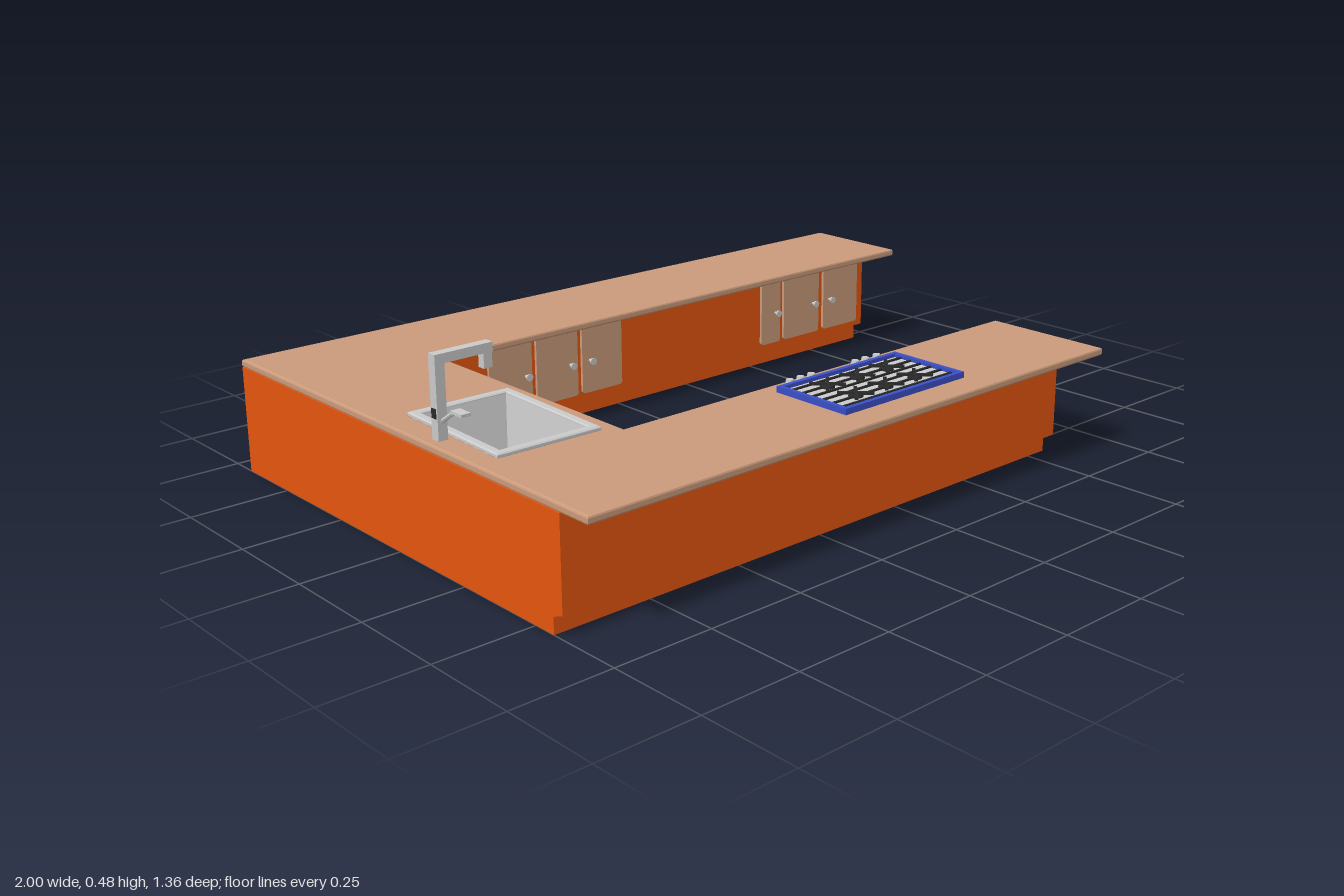
import * as THREE from 'three';

const mat = (color, side = THREE.FrontSide) =>
  new THREE.MeshStandardMaterial({ color, side, flatShading: true });
const orange = mat(0xe6560d);
const orangeThin = mat(0xe6560d, THREE.DoubleSide);
const wood = mat(0xcc9c7c);
const grey = mat(0xcccccc);
const greyThin = mat(0xcccccc, THREE.DoubleSide);
const dark = mat(0x2a2a2a);
const blue = mat(0x3c50c8);

function add(parent, name, geometry, material, x = 0, y = 0, z = 0) {
  const mesh = new THREE.Mesh(geometry, material);
  mesh.name = name;
  mesh.position.set(x, y, z);
  parent.add(mesh);
  return mesh;
}

// Box given by its limits on each axis
function box(parent, name, material, [x0, x1], [y0, y1], [z0, z1]) {
  return add(parent, name, new THREE.BoxGeometry(x1 - x0, y1 - y0, z1 - z0), material,
    (x0 + x1) / 2, (y0 + y1) / 2, (z0 + z1) / 2);
}

function group(parent, name, x = 0, y = 0, z = 0, ry = 0) {
  const g = new THREE.Group();
  g.name = name;
  g.position.set(x, y, z);
  g.rotation.y = ry;
  parent.add(g);
  return g;
}

const polygon = pts => new THREE.Shape(pts.map(p => new THREE.Vector2(...p)));
const rect = (x0, x1, y0, y1) => polygon([[x0, y0], [x1, y0], [x1, y1], [x0, y1]]);

function roundedRect(x0, x1, y0, y1, r) {
  const s = new THREE.Shape();
  s.absarc(x1 - r, y0 + r, r, -Math.PI / 2, 0);
  s.absarc(x1 - r, y1 - r, r, 0, Math.PI / 2);
  s.absarc(x0 + r, y1 - r, r, Math.PI / 2, Math.PI);
  s.absarc(x0 + r, y0 + r, r, Math.PI, Math.PI * 1.5);
  return s;
}

// Open sheet: a (z, y) section drawn along x
function sheet(section, x0, x1) {
  const pos = [];
  for (let i = 0; i < section.length - 1; i++) {
    const [za, ya] = section[i], [zb, yb] = section[i + 1];
    pos.push(x0, ya, za, x1, ya, za, x1, yb, zb, x0, ya, za, x1, yb, zb, x0, yb, zb);
  }
  const g = new THREE.BufferGeometry();
  g.setAttribute('position', new THREE.Float32BufferAttribute(pos, 3));
  g.computeVertexNormals();
  return g;
}

// Cabinet door with a knob, on a run whose face is local z = 0
function door(run, u0, u1, knobU) {
  const g = group(run, 'door');
  add(g, 'doorPanel', new THREE.ExtrudeGeometry(roundedRect(u0, u1, 0.07, 0.255, 0.008),
    { depth: 0.008, bevelEnabled: false, curveSegments: 4 }), wood);
  const stem = add(g, 'knobStem', new THREE.CylinderGeometry(0.004, 0.004, 0.012, 8), grey, knobU, 0.16, 0.013);
  const knob = add(g, 'knob', new THREE.CylinderGeometry(0.01, 0.008, 0.008, 14), grey, knobU, 0.16, 0.022);
  stem.rotation.x = knob.rotation.x = Math.PI / 2;
}

// Framed appliance front with a bar handle
function appliance(run, name, [u0, u1], [y0, y1], out, inner, [h0, h1], hy) {
  const g = group(run, name), b = 0.018;
  const frame = rect(u0, u1, y0, y1);
  frame.holes.push(rect(u0 + b, u1 - b, y0 + b, y1 - b));
  add(g, 'frame', new THREE.ExtrudeGeometry(frame, { depth: out, bevelEnabled: false }), grey);
  box(g, 'panel', inner, [u0 + b, u1 - b], [y0 + b, y1 - b], [0, out - 0.005]);
  box(g, 'handle', grey, [h0, h1], [hy - 0.004, hy + 0.004], [out + 0.014, out + 0.022]);
  for (const u of [h0, h1 - 0.008])
    box(g, 'handlePost', grey, [u, u + 0.008], [hy - 0.004, hy + 0.004], [out - 0.006, out + 0.016]);
}

export function createModel() {
  const kitchen = new THREE.Group();
  kitchen.name = 'kitchen';

  // U-shaped worktop with a cut-out for the sink
  const top = polygon([[-1, -0.68], [1, -0.68], [1, -0.37], [-0.635, -0.37],
    [-0.635, 0.34], [0.62, 0.34], [0.62, 0.68], [-1, 0.68]]);
  top.holes.push(rect(-0.925, -0.687, -0.025, 0.295));
  const topGeo = new THREE.ExtrudeGeometry(top, { depth: 0.01, bevelThickness: 0.005,
    bevelSize: 0.005, bevelOffset: -0.005, bevelSegments: 2 });
  topGeo.rotateX(Math.PI / 2);
  add(kitchen, 'worktop', topGeo, wood, 0, 0.285, 0);

  // Front arm, with a toe kick on both long sides
  const frontGeo = new THREE.ExtrudeGeometry(polygon([[0.4, 0], [0.56, 0], [0.56, 0.04], [0.59, 0.052],
    [0.59, 0.27], [0.37, 0.27], [0.37, 0.052], [0.4, 0.04]]), { depth: 1.56, bevelEnabled: false });
  frontGeo.rotateY(-Math.PI / 2);
  add(kitchen, 'frontCabinet', frontGeo, orange, 0.56, 0, 0);

  // Back arm: hollow shell with a toe kick, open at the corner
  const backFront = [[-0.47, 0], [-0.47, 0.04], [-0.44, 0.052], [-0.44, 0.27]];
  const back = group(kitchen, 'backCabinet');
  add(back, 'backFace', sheet(backFront, -0.66, 0.94), orangeThin);
  add(back, 'backWall', sheet([[-0.68, 0.27], [-0.68, 0]], -0.68, 0.94), orangeThin);
  const end = new THREE.ShapeGeometry(polygon([[-0.68, 0], ...backFront, [-0.68, 0.27]]));
  end.rotateY(-Math.PI / 2);
  add(back, 'endPanel', end, orangeThin, 0.94, 0, 0);
  box(back, 'backFloor', orange, [-0.66, 0.94], [0, 0.004], [-0.68, -0.47]);

  // Left arm: outer wall, inner face and floor
  const side = group(kitchen, 'sideCabinet');
  box(side, 'outerWall', orange, [-1, -0.996], [0, 0.27], [-0.68, 0.45]);
  box(side, 'innerFace', orange, [-0.664, -0.66], [0, 0.27], [-0.36, 0.42]);
  box(side, 'sideFloor', orange, [-1, -0.66], [0, 0.004], [-0.68, 0.42]);

  // Doors and appliances on the three inner faces
  const backRun = group(kitchen, 'backDoors', 0, 0, -0.44);
  for (const [a, b, k] of [[-0.45, -0.315, -0.335], [-0.3, -0.165, -0.19], [-0.15, -0.015, -0.125],
    [0.51, 0.585, 0.565], [0.6, 0.745, 0.72], [0.765, 0.91, 0.79]]) door(backRun, a, b, k);

  const sideRun = group(kitchen, 'sideDoors', -0.66, 0, 0, Math.PI / 2);
  door(sideRun, -0.313, -0.157, -0.295);
  door(sideRun, -0.13, 0.027, -0.108);
  appliance(sideRun, 'dishwasher', [0.055, 0.35], [0.055, 0.27], 0.012, grey, [0.11, 0.21], 0.235);

  const frontRun = group(kitchen, 'frontDoors', 0, 0, 0.37, Math.PI);
  for (const [a, b, k] of [[-0.535, -0.42, -0.44], [-0.405, -0.295, -0.385], [-0.28, -0.17, -0.26],
    [0.225, 0.345, 0.325], [0.365, 0.485, 0.385], [0.505, 0.625, 0.525]]) door(frontRun, a, b, k);
  appliance(frontRun, 'oven', [-0.15, 0.2], [0.055, 0.275], 0.034, dark, [-0.1, 0.02], 0.245);

  // Cooktop with bars, crossed pan supports and burners
  const hob = group(kitchen, 'cooktop', -0.02, 0.29, 0.495);
  box(hob, 'hobPlate', grey, [-0.19, 0.19], [0, 0.006], [-0.1, 0.1]);
  for (const s of [-1, 1]) {
    box(hob, 'hobRim', blue, [-0.2, 0.2], [0, 0.015], [s * 0.104 - 0.006, s * 0.104 + 0.006]);
    box(hob, 'hobRim', blue, [s * 0.194 - 0.006, s * 0.194 + 0.006], [0, 0.015], [-0.11, 0.11]);
  }
  for (let i = 0; i < 6; i++) {
    const z = -0.08 + i * 0.032;
    box(hob, 'hobBar', dark, [-0.188, 0.188], [0.006, 0.01], [z - 0.003, z + 0.003]);
  }
  for (const x of [-0.1, 0, 0.1]) for (const z of [-0.045, 0.045]) {
    add(hob, 'burner', new THREE.CylinderGeometry(0.016, 0.018, 0.008, 16), dark, x, 0.009, z);
    for (const a of [-0.8, 0.8]) {
      const arm = add(hob, 'panSupport', new THREE.BoxGeometry(0.085, 0.006, 0.008), dark, x, 0.014, z);
      arm.rotation.y = a;
    }
  }
  for (const x of [-0.155, -0.12, -0.085, 0.065, 0.1, 0.14])
    add(kitchen, 'hobKnob', new THREE.CylinderGeometry(0.009, 0.011, 0.012, 14), grey, x, 0.296, 0.362);

  // Sink: raised rim, tapered basin and drain
  const sink = group(kitchen, 'sink', -0.806, 0, 0.135, -0.03);
  const rim = rect(-0.133, 0.133, -0.178, 0.178);
  rim.holes.push(rect(-0.112, 0.112, -0.156, 0.156));
  const rimGeo = new THREE.ExtrudeGeometry(rim, { depth: 0.006, bevelThickness: 0.003, bevelSize: 0.003,
    bevelOffset: -0.003, bevelSegments: 1 });
  rimGeo.rotateX(Math.PI / 2);
  add(sink, 'sinkRim', rimGeo, grey, 0, 0.297, 0);
  const basin = new THREE.CylinderGeometry(Math.SQRT1_2, 0.85 * Math.SQRT1_2, 0.13, 4, 1, true, Math.PI / 4);
  basin.scale(0.224, 1, 0.312);
  add(sink, 'basin', basin, greyThin, 0, 0.23, 0);
  box(sink, 'basinFloor', grey, [-0.096, 0.096], [0.162, 0.166], [-0.134, 0.134]);
  add(sink, 'drain', new THREE.CylinderGeometry(0.016, 0.016, 0.004, 16), dark, 0, 0.167, 0);

  // Square tap with a cranked lever
  const tap = group(kitchen, 'tap');
  box(tap, 'tapPost', grey, [-0.977, -0.953], [0.29, 0.482], [0.118, 0.142]);
  box(tap, 'tapCollar', dark, [-0.979, -0.951], [0.34, 0.362], [0.122, 0.138]);
  box(tap, 'tapArm', grey, [-0.955, -0.83], [0.46, 0.482], [0.118, 0.142]);
  box(tap, 'tapSpout', grey, [-0.853, -0.831], [0.425, 0.462], [0.12, 0.14]);
  const lever = new THREE.CurvePath();
  const pts = [[0.14, 0.333], [0.192, 0.368], [0.232, 0.37]].map(([z, y]) => new THREE.Vector3(-0.965, y, z));
  lever.add(new THREE.LineCurve3(pts[0], pts[1]));
  lever.add(new THREE.LineCurve3(pts[1], pts[2]));
  add(tap, 'tapLever', new THREE.TubeGeometry(lever, 16, 0.005, 6), greyThin);
  box(tap, 'tapLeverTip', grey, [-0.977, -0.953], [0.366, 0.373], [0.192, 0.232]);

  return kitchen;
}
